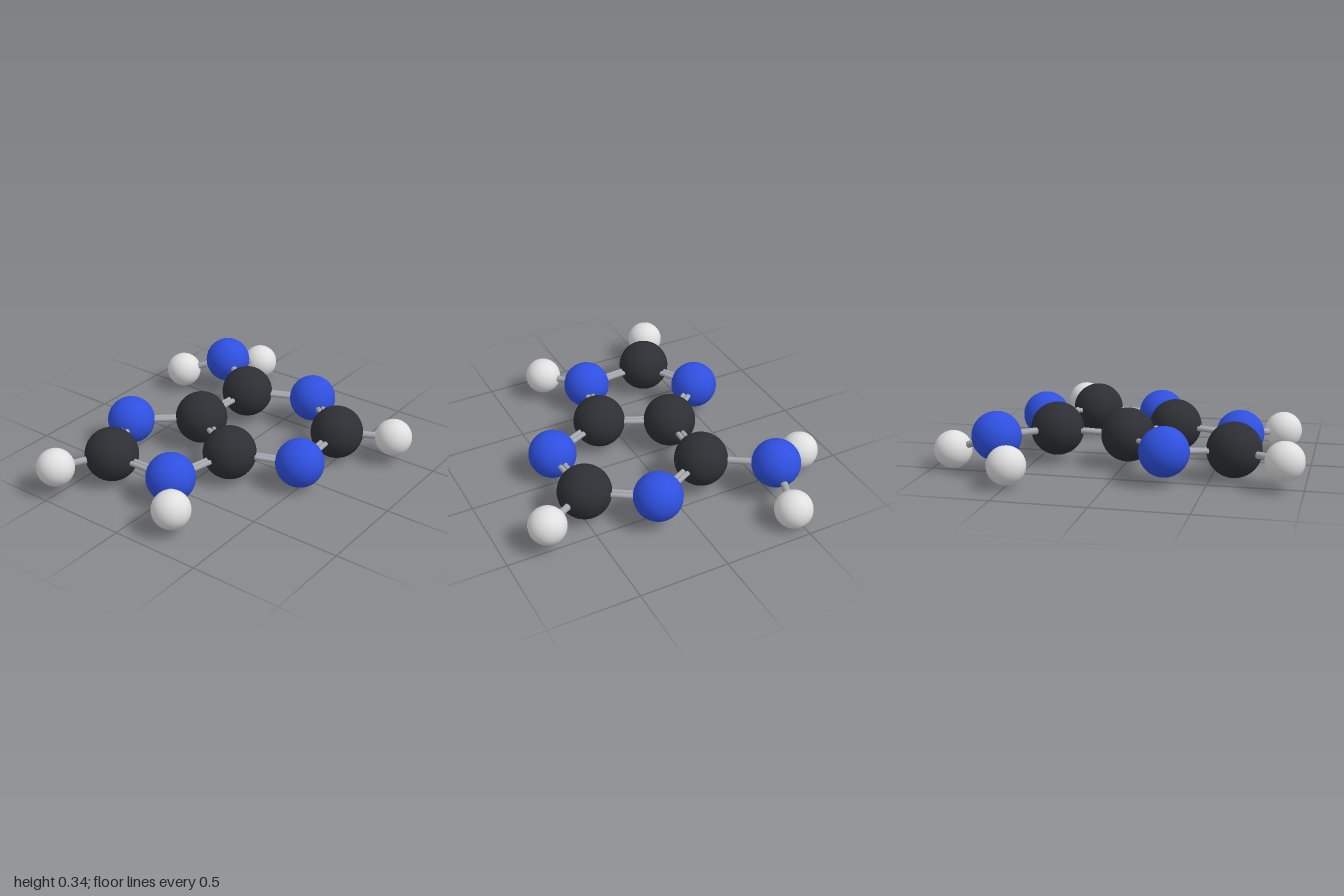
import * as THREE from 'three';

const mat = (name, color) => {
  const m = new THREE.MeshStandardMaterial({ color });
  m.name = name;
  return m;
};

export function createModel() {
  const model = new THREE.Group();
  model.name = 'moleculeModel';

  const bondMat = mat('bond grey', 0xa6a6ae);
  const kinds = {
    C: { name: 'carbonAtom', r: 0.147, m: mat('carbon black', 0x2e2f34) },
    N: { name: 'nitrogenAtom', r: 0.133, m: mat('nitrogen blue', 0x2f50e0) },
    H: { name: 'hydrogenAtom', r: 0.103, m: mat('hydrogen white', 0xe0e0e0) },
  };
  for (const k of Object.values(kinds)) k.geo = new THREE.SphereGeometry(k.r, 40, 28);

  // Atoms: kind and position
  const atoms = [
    ['C', -0.623, 0.163, -0.361], // 0 five-ring outer carbon
    ['N', -0.281, 0.174, -0.521], // 1
    ['C', -0.024, 0.178, -0.216], // 2 shared ring edge
    ['C', -0.222, 0.160, 0.134], // 3 shared ring edge
    ['N', -0.604, 0.152, 0.035], // 4
    ['N', -0.072, 0.149, 0.492], // 5
    ['C', 0.318, 0.161, 0.479], // 6
    ['N', 0.551, 0.179, 0.163], // 7
    ['C', 0.382, 0.186, -0.190], // 8
    ['N', 0.623, 0.208, -0.516], // 9 side group
    ['H', -0.899, 0.158, -0.513], // 10
    ['H', -0.827, 0.141, 0.222], // 11
    ['H', 0.468, 0.152, 0.757], // 12
    ['H', 0.892, 0.107, -0.460], // 13
    ['H', 0.490, 0.120, -0.762], // 14
  ];
  const points = atoms.map(([kind, x, y, z]) => {
    const k = kinds[kind];
    const ball = new THREE.Mesh(k.geo, k.m);
    ball.name = k.name;
    ball.position.set(x, y, z);
    model.add(ball);
    return ball.position;
  });

  // Rod between two atoms, optionally shifted sideways in the ring plane
  const up = new THREE.Vector3(0, 1, 0);
  const addRod = (a, b, radius, shift, name) => {
    const dir = points[b].clone().sub(points[a]);
    const length = dir.length();
    dir.normalize();
    const side = new THREE.Vector3().crossVectors(dir, up).normalize();
    const rod = new THREE.Mesh(new THREE.CylinderGeometry(radius, radius, length, 16, 1, true), bondMat);
    rod.name = name;
    rod.quaternion.setFromUnitVectors(up, dir);
    rod.position.copy(points[a]).lerp(points[b], 0.5).addScaledVector(side, shift);
    model.add(rod);
  };

  // Twin rods around both rings
  const ringBonds = [[0, 1], [1, 2], [2, 3], [3, 4], [4, 0], [3, 5], [5, 6], [6, 7], [7, 8], [8, 2]];
  for (const [a, b] of ringBonds)
    for (const s of [-1, 1]) addRod(a, b, 0.014, s * 0.014, 'ringBond');

  // Single rods to the outer atoms
  const singleBonds = [[8, 9], [0, 10], [4, 11], [6, 12], [9, 13], [9, 14]];
  for (const [a, b] of singleBonds) addRod(a, b, 0.019, 0, 'singleBond');

  return model;
}
